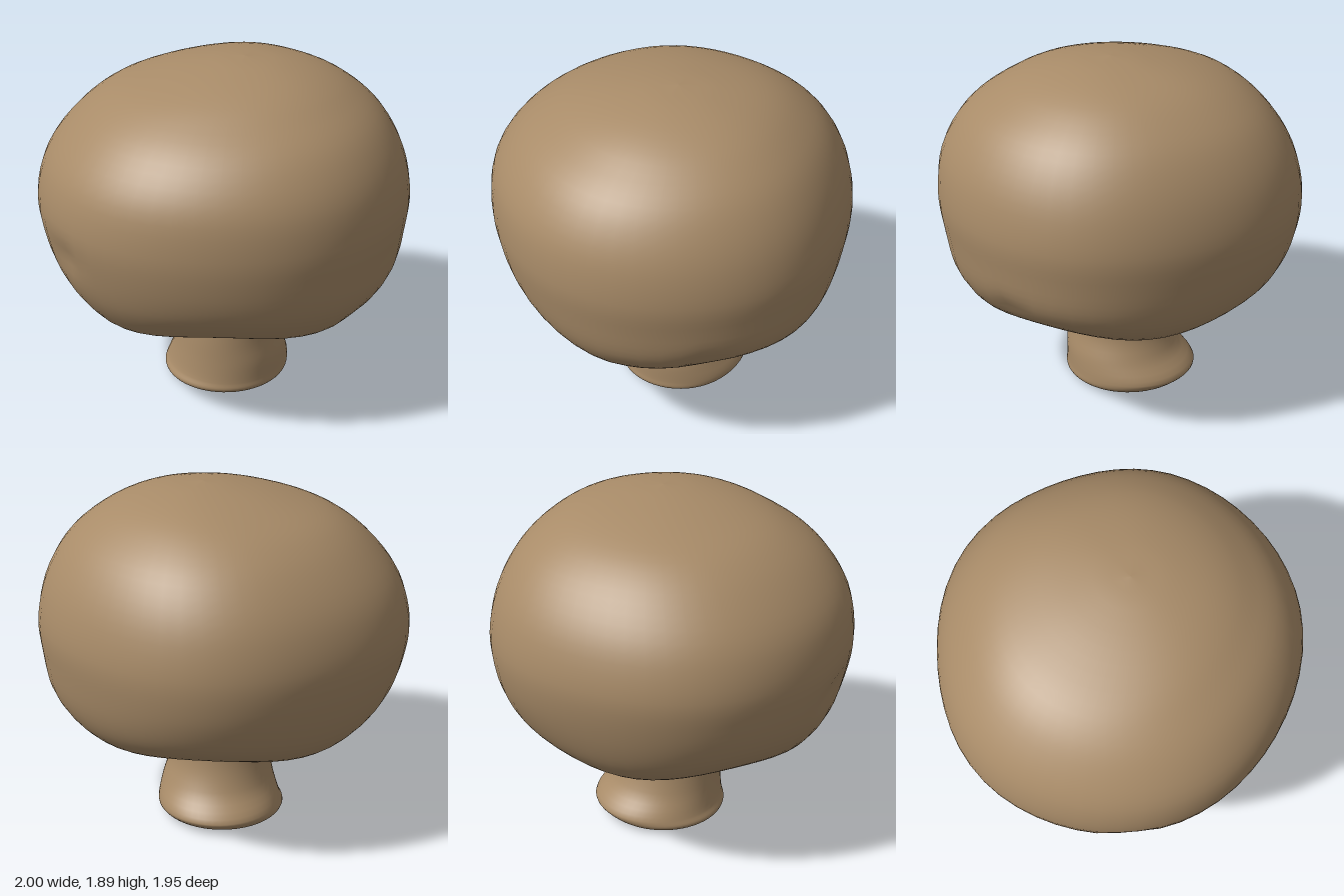
import * as THREE from 'three';

const SEGMENTS = 56;

// Loft through rows of [y, xMin, xMax, zMin, zMax], ordered from the underside up.
// Rows are smoothed with splines; adjust(v, angle) can sculpt each vertex.
function loft(rows, steps, adjust) {
  const low = new THREE.CatmullRomCurve3(rows.map(r => new THREE.Vector3(r[1], r[0], r[3])));
  const high = new THREE.CatmullRomCurve3(rows.map(r => new THREE.Vector3(r[2], r[0], r[4])));
  const positions = [], index = [], v = new THREE.Vector3();
  for (let i = 0; i <= steps; i++) {
    const a = low.getPoint(i / steps), b = high.getPoint(i / steps);
    for (let j = 0; j < SEGMENTS; j++) {
      const t = (j / SEGMENTS) * Math.PI * 2;
      v.set(
        (a.x + b.x) / 2 + ((b.x - a.x) / 2) * Math.cos(t),
        (a.y + b.y) / 2,
        (a.z + b.z) / 2 + ((b.z - a.z) / 2) * Math.sin(t)
      );
      if (adjust) adjust(v, t);
      positions.push(v.x, v.y, v.z);
      if (i < steps) {
        const p = i * SEGMENTS + j, q = i * SEGMENTS + ((j + 1) % SEGMENTS);
        index.push(p, p + SEGMENTS, q, q, p + SEGMENTS, q + SEGMENTS);
      }
    }
  }
  const g = new THREE.BufferGeometry();
  g.setAttribute('position', new THREE.Float32BufferAttribute(positions, 3));
  g.setIndex(index);
  g.computeVertexNormals();
  return g;
}

export function createModel() {
  const group = new THREE.Group();
  const brown = new THREE.MeshStandardMaterial({ color: 0xa88b68 });
  brown.name = 'mushroom brown';
  const add = (name, geometry) => {
    const mesh = new THREE.Mesh(geometry, brown);
    mesh.name = name;
    group.add(mesh);
    return mesh;
  };

  // Cap: hollow underside, rolled rim, then a full dome leaning slightly to +x
  const capRows = [
    [0.74, -0.22, 0.26, -0.22, 0.26],
    [0.72, -0.36, 0.39, -0.36, 0.39],
    [0.64, -0.45, 0.46, -0.44, 0.46],
    [0.59, -0.58, 0.57, -0.55, 0.57],
    [0.61, -0.74, 0.75, -0.71, 0.74],
    [0.70, -0.85, 0.88, -0.83, 0.835],
    [0.82, -0.925, 0.955, -0.90, 0.905],
    [1.00, -0.98, 0.985, -0.955, 0.955],
    [1.18, -1.00, 1.00, -0.97, 0.975],
    [1.40, -0.94, 0.955, -0.92, 0.945],
    [1.60, -0.785, 0.845, -0.80, 0.82],
    [1.74, -0.595, 0.69, -0.635, 0.63],
    [1.83, -0.33, 0.52, -0.44, 0.44],
    [1.885, -0.06, 0.31, -0.18, 0.21],
    [1.90, 0.11, 0.11, 0.02, 0.02]
  ];
  // Shallow bruises in the skin: [x, y, z, radius, depth]
  const dents = [[-0.77, 1.0, 0.56, 0.09, 0.03], [0.9, 0.79, 0.16, 0.08, 0.03], [0.66, 0.72, 0.5, 0.08, 0.02]];
  add('cap', loft(capRows, 56, (v, t) => {
    // Rim dips on the diagonals; outline is fuller at the front, flatter at the back corners
    const rim = THREE.MathUtils.clamp((0.95 - v.y) / 0.3, 0, 1);
    v.y += 0.028 * rim * Math.cos(4 * t);
    const side = Math.sin(t);
    const k = 1 + (side > 0 ? 0.02 : 0.045) * side * Math.sin(2 * t) ** 2;
    v.x *= k;
    v.z *= k;
    for (const [x, y, z, r, d] of dents) {
      const s = ((v.x - x) ** 2 + (v.y - y) ** 2 + (v.z - z) ** 2) / (r * r);
      const f = 1 - d * Math.exp(-s);
      v.x *= f;
      v.z *= f;
    }
  }));

  // Stem: closed foot, flare to the back, narrow waist
  const stemRows = [
    [0.008, 0.0, 0.0, -0.03, -0.03],
    [0.012, -0.18, 0.18, -0.21, 0.17],
    [0.02, -0.31, 0.32, -0.34, 0.29],
    [0.05, -0.34, 0.36, -0.39, 0.32],
    [0.09, -0.325, 0.365, -0.42, 0.315],
    [0.20, -0.285, 0.345, -0.33, 0.31],
    [0.32, -0.26, 0.31, -0.28, 0.305],
    [0.45, -0.245, 0.305, -0.26, 0.30],
    [0.60, -0.25, 0.34, -0.26, 0.30],
    [0.76, -0.27, 0.36, -0.29, 0.33]
  ];
  add('stem', loft(stemRows, 36));

  // Torn veil tufts bridging the stem and the rim: [x, y, z, length, height, width, turn]
  const tufts = [
    [0.13, 0.61, -0.42, 0.13, 0.05, 0.06, 1.3],
    [0.02, 0.63, -0.38, 0.12, 0.05, 0.05, 1.8],
    [0.22, 0.62, -0.36, 0.12, 0.05, 0.05, 0.9],
    [-0.40, 0.60, 0.12, 0.13, 0.04, 0.07, 0.3],
    [-0.36, 0.63, 0.02, 0.12, 0.04, 0.05, -0.2]
  ];
  for (const [x, y, z, length, height, width, turn] of tufts) {
    const tuft = add('veilTuft', new THREE.SphereGeometry(1, 14, 10));
    tuft.position.set(x, y, z);
    tuft.scale.set(length, height, width);
    tuft.rotation.y = turn;
  }

  // Soft fold of torn veil wrapped around the back of the stem
  const foldPoints = [175, 200, 225, 250, 275].map((degrees, i) => {
    const t = THREE.MathUtils.degToRad(degrees);
    return new THREE.Vector3(0.02 + 0.27 * Math.cos(t), 0.63 - 0.02 * i, 0.02 + 0.275 * Math.sin(t));
  });
  add('veilFold', new THREE.TubeGeometry(new THREE.CatmullRomCurve3(foldPoints), 20, 0.025, 10));
  return group;
}
